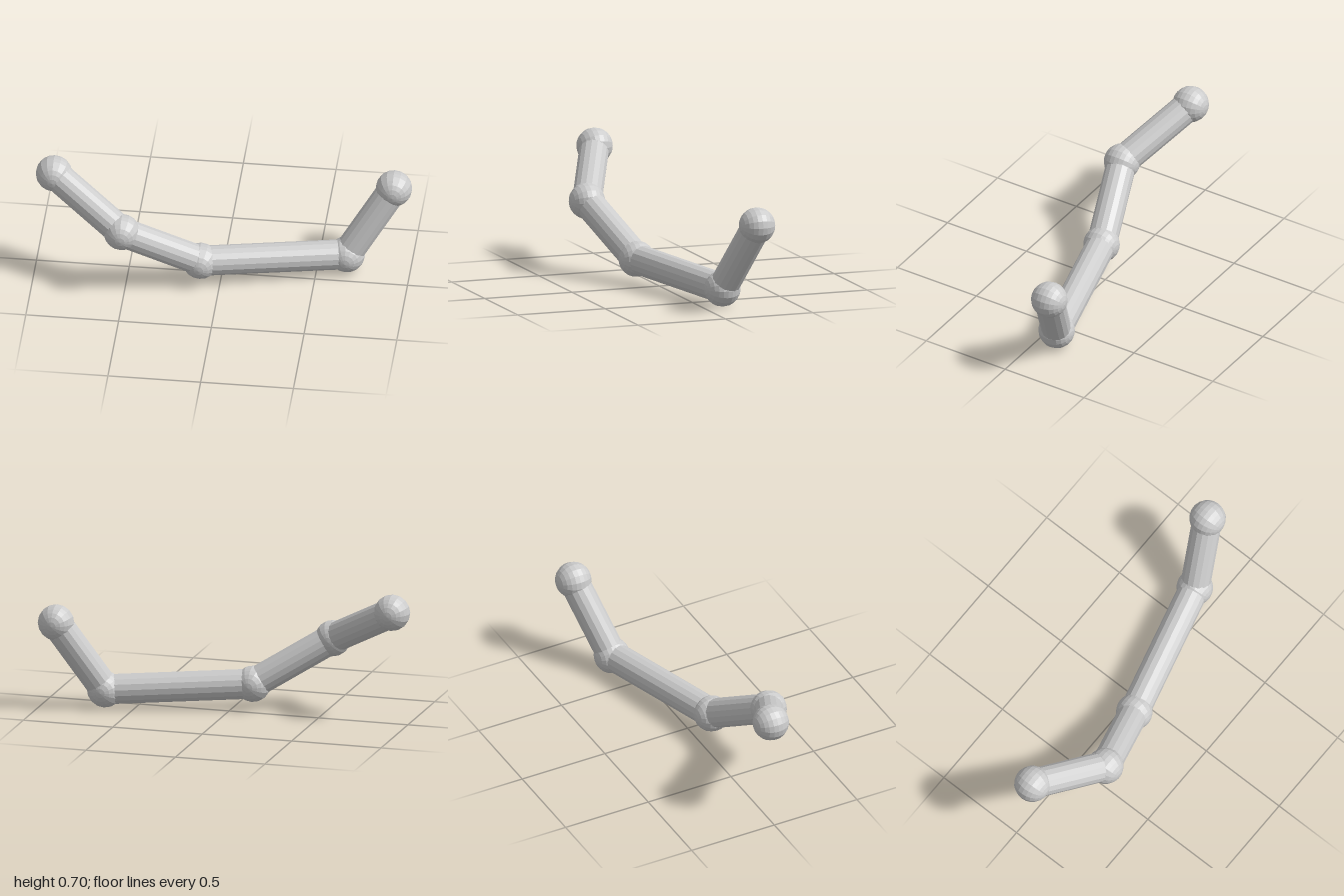
import * as THREE from 'three';

export function createModel() {
  const group = new THREE.Group();
  const material = new THREE.MeshStandardMaterial({ color: 0xcccccc, flatShading: true });
  const jointRadius = 0.098, tubeRadius = 0.081;

  // Joint centres along the bent chain
  const joints = [
    [-0.902, 0.606, 0.03],
    [-0.515, 0.387, 0.22],
    [-0.106, 0.136, 0.09],
    [0.66, 0.098, -0.111],
    [0.902, 0.477, -0.218],
  ].map((p) => new THREE.Vector3(...p));

  // Ball joints, poles along z
  const ballGeometry = new THREE.SphereGeometry(jointRadius, 16, 12).rotateX(Math.PI / 2);
  joints.forEach((p, i) => {
    const ball = new THREE.Mesh(ballGeometry, material);
    ball.name = `ballJoint${i + 1}`;
    ball.position.copy(p);
    group.add(ball);
  });

  // Straight tubes from each joint to the next
  const up = new THREE.Vector3(0, 1, 0);
  for (let i = 0; i < joints.length - 1; i++) {
    const direction = joints[i + 1].clone().sub(joints[i]);
    const length = direction.length();
    const tube = new THREE.Mesh(
      new THREE.CylinderGeometry(tubeRadius, tubeRadius, length, 16), material);
    tube.name = `tube${i + 1}`;
    tube.position.copy(joints[i]).add(joints[i + 1]).multiplyScalar(0.5);
    tube.quaternion.setFromUnitVectors(up, direction.normalize());
    group.add(tube);
  }
  return group;
}
